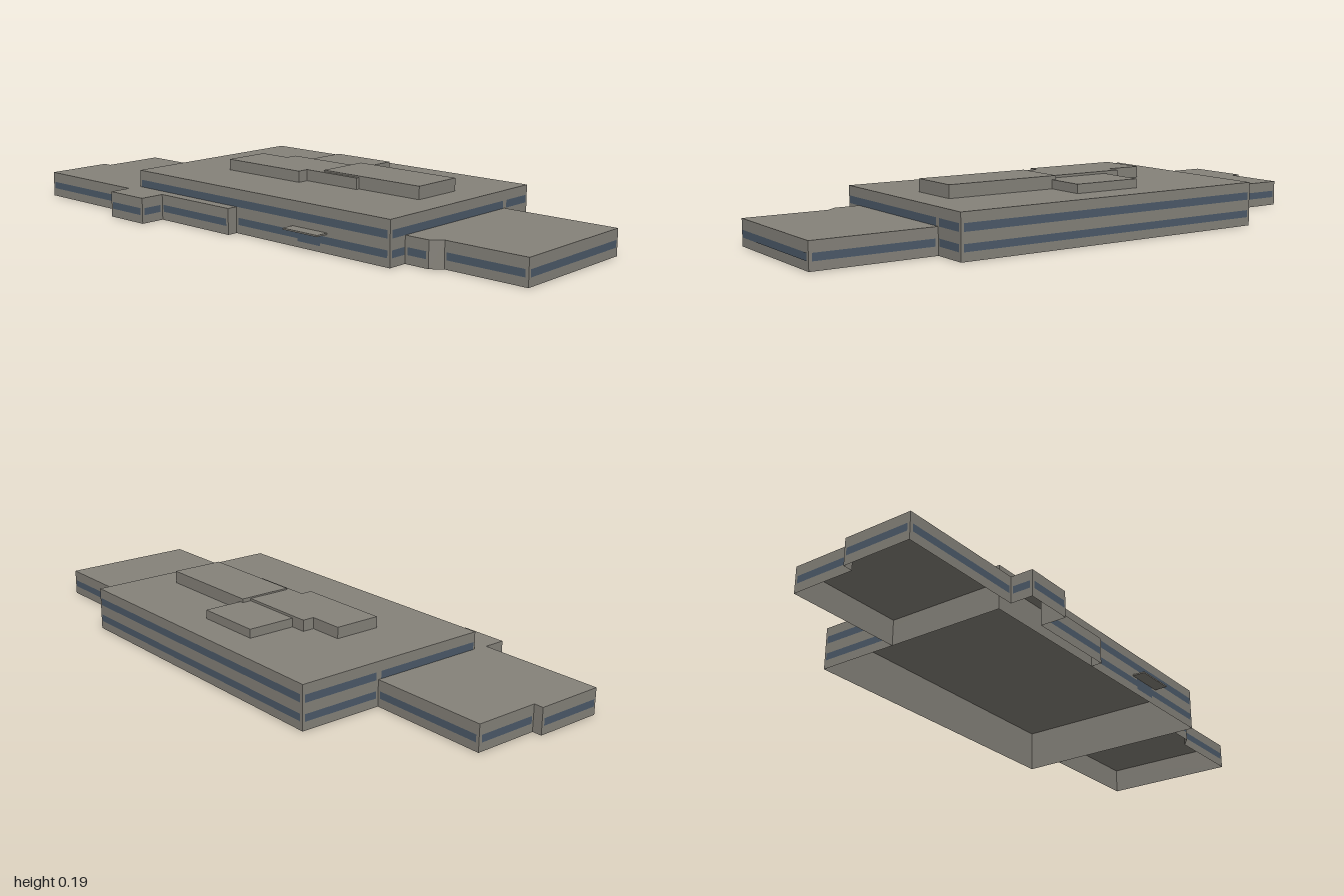
import * as THREE from 'three';
import { mergeGeometries } from 'three/addons/utils/BufferGeometryUtils.js';

const wallMat = new THREE.MeshStandardMaterial({ color: 0x85827a, side: THREE.DoubleSide });
wallMat.name = 'warm grey concrete';
const glassMat = new THREE.MeshStandardMaterial({ color: 0x4c5a69 });
glassMat.name = 'slate blue glass';

// Upright rectangle from a to b (x, z), facing right of the travel direction seen from below
function panel([ax, az], [bx, bz], y0, y1, out = 0) {
  const dx = bx - ax, dz = bz - az, len = Math.hypot(dx, dz);
  const g = new THREE.PlaneGeometry(len, y1 - y0);
  g.rotateY(Math.atan2(-dz, dx));
  g.translate((ax + bx) / 2 - dz / len * out, (y0 + y1) / 2, (az + bz) / 2 + dx / len * out);
  return g;
}

// Hollow block: flat roof and outer walls, open below; edges listed in skip get no wall
function block(name, pts, y0, y1, skip = []) {
  const roof = new THREE.ShapeGeometry(new THREE.Shape(pts.map(([x, z]) => new THREE.Vector2(x, -z))));
  roof.rotateX(-Math.PI / 2).translate(0, y1, 0);
  const parts = [roof];
  pts.forEach((p, i) => {
    if (!skip.includes(i)) parts.push(panel(p, pts[(i + 1) % pts.length], y0, y1));
  });
  const mesh = new THREE.Mesh(mergeGeometries(parts), wallMat);
  mesh.name = name;
  return mesh;
}

const rect = (x0, x1, z0, z1) => [[x0, z1], [x1, z1], [x1, z0], [x0, z0]];

// Rows of window strips: [ax, az, bx, bz]
function windows(name, rows, y0, y1) {
  const geos = rows.map(([ax, az, bx, bz]) => panel([ax, az], [bx, bz], y0, y1, 0.0015));
  const mesh = new THREE.Mesh(mergeGeometries(geos), glassMat);
  mesh.name = name;
  return mesh;
}

export function createModel() {
  const model = new THREE.Group();
  model.name = 'building';

  // Main two-storey hall
  model.add(block('mainHall', rect(-0.55, 0.587, -0.418, 0.29), 0, 0.147));

  // Single-storey wing with stepped front and entrance bay
  model.add(block('rightWing', [
    [-1, 0.338], [-0.556, 0.338], [-0.556, 0.415], [-0.39, 0.415], [-0.39, 0.327], [-0.062, 0.327],
    [-0.062, 0.29], [-0.55, 0.29], [-0.55, -0.125], [-0.967, -0.125], [-0.967, 0.1], [-1, 0.1],
  ], 0, 0.088, [6, 7]));

  // Single-storey wing with chamfered front step
  model.add(block('leftWing', [
    [0.587, 0.22], [0.675, 0.22], [0.71, 0.19], [1, 0.19], [1, -0.29], [0.587, -0.29],
  ], 0, 0.088, [5]));

  // Rooftop plant rooms
  model.add(block('roofRoomWest', [
    [-0.325, 0.07], [0.01, 0.07], [0.01, 0.03], [0.23, 0.03], [0.23, 0.012], [0.075, 0.012],
    [0.075, -0.137], [-0.205, -0.137], [-0.205, -0.095], [-0.325, -0.095],
  ], 0.147, 0.185));
  model.add(block('roofRoomEast', rect(0.075, 0.477, -0.17, 0.017), 0.147, 0.19));
  model.add(block('roofRoomBack', rect(-0.15, 0.09, -0.307, -0.137), 0.147, 0.177));

  // Entrance canopy and door
  const canopy = new THREE.Mesh(new THREE.BoxGeometry(0.146, 0.005, 0.044), wallMat);
  canopy.name = 'entranceCanopy';
  canopy.position.set(0.265, 0.063, 0.312);
  model.add(canopy);
  model.add(windows('entranceDoor', [[0.215, 0.2905, 0.31, 0.2905]], 0.02, 0.058));

  // Upper window strips around the main hall
  model.add(windows('upperWindows', [
    [-0.54, 0.29, 0.578, 0.29],
    [0.587, 0.282, 0.587, -0.28], [0.587, -0.298, 0.587, -0.41],
    [0.578, -0.418, -0.54, -0.418],
    [-0.55, -0.41, -0.55, -0.135], [-0.55, -0.115, -0.55, 0.282],
  ], 0.0885, 0.114));

  // Ground floor window strips
  model.add(windows('lowerWindows', [
    // front
    [-0.99, 0.338, -0.565, 0.338], [-0.547, 0.415, -0.398, 0.415], [-0.382, 0.327, -0.07, 0.327],
    [-0.052, 0.29, 0.578, 0.29], [0.597, 0.22, 0.667, 0.22], [0.718, 0.19, 0.99, 0.19],
    // left side
    [-0.39, 0.408, -0.39, 0.338], [0.587, 0.282, 0.587, 0.225],
    [1, 0.182, 1, -0.28], [0.587, -0.298, 0.587, -0.41],
    // back
    [0.99, -0.29, 0.597, -0.29], [0.578, -0.418, -0.54, -0.418], [-0.56, -0.125, -0.957, -0.125],
    // right side
    [-0.55, -0.41, -0.55, -0.135], [-0.967, -0.115, -0.967, 0.092],
    [-1, 0.108, -1, 0.33], [-0.556, 0.346, -0.556, 0.407],
    // inside of the hall front
    [0.578, 0.29, -0.052, 0.29],
  ], 0.029, 0.053));

  return model;
}
